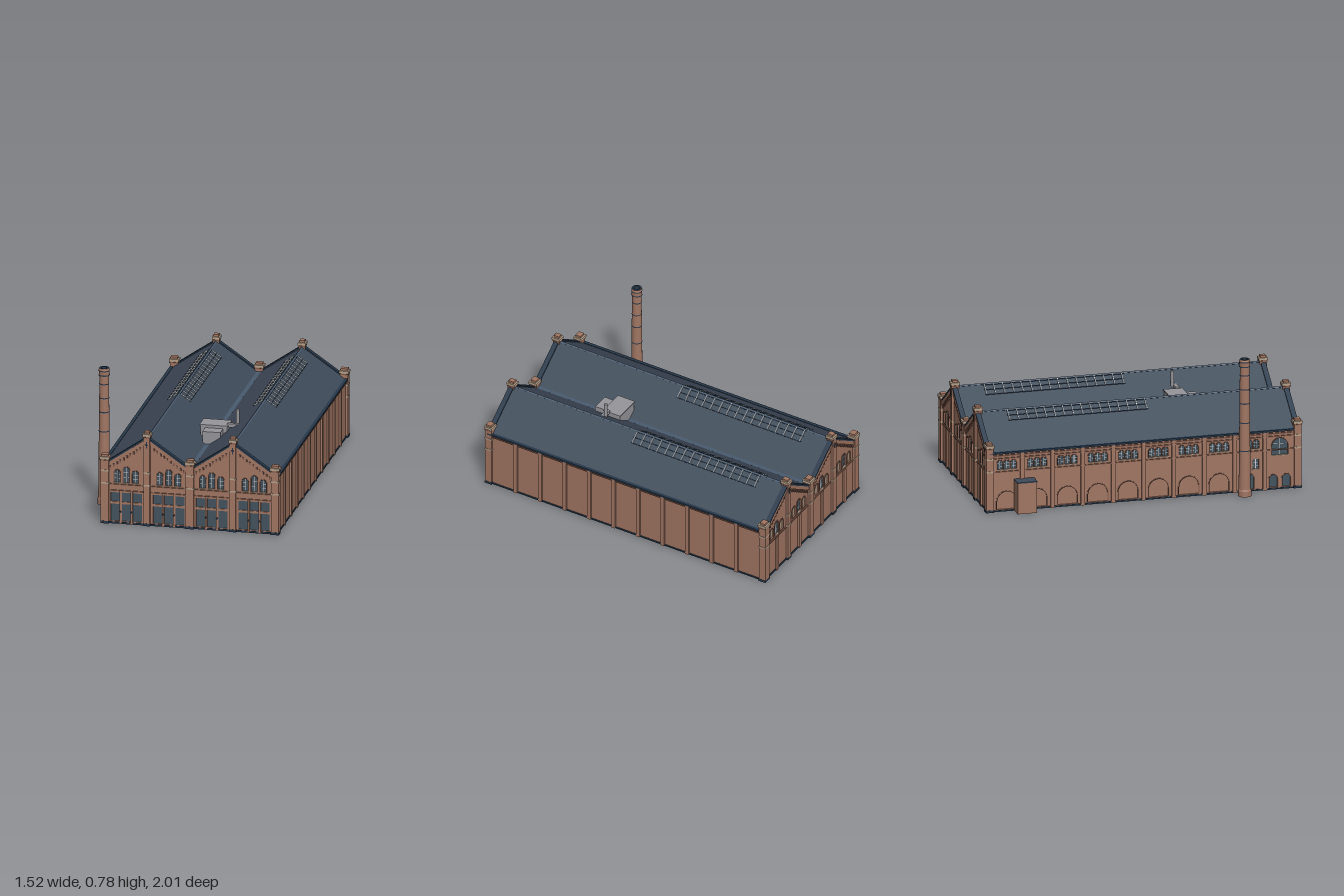
import * as THREE from 'three';

const mat = (name, color, side = THREE.FrontSide) => {
  const m = new THREE.MeshStandardMaterial({ color, side });
  m.name = name;
  return m;
};

export function createModel() {
  const brick = mat('brick', 0xa17663, THREE.DoubleSide);
  const darkBrick = mat('dark brick', 0x7f5a4b);
  const roofMat = mat('slate roof', 0x3f4b5a, THREE.DoubleSide);
  const ridgeMat = mat('blue lead', 0x4a5b70);
  const stone = mat('stone', 0xb5a08a);
  const glass = mat('dark glass', 0x43535f);
  const frameMat = mat('pale frame', 0xc9cdd0);
  const trim = mat('dark trim', 0x27384a);
  const metal = mat('grey metal', 0x96969b);
  const blind = mat('blind panel', 0xa58c78);

  const HX = 0.484, HZ = 0.877, EAVE = 0.335, PEAK = 0.5, PX = 0.24, T = 0.012;
  const root = new THREE.Group();
  const building = new THREE.Group();
  building.name = 'factory';
  building.rotation.y = 0.3194;
  root.add(building);

  const add = (parent, name, geo, material, x = 0, y = 0, z = 0) => {
    const m = new THREE.Mesh(geo, material);
    m.name = name;
    m.position.set(x, y, z);
    parent.add(m);
    return m;
  };
  const box = (parent, name, material, w, h, d, x, y, z) =>
    add(parent, name, new THREE.BoxGeometry(w, h, d), material, x, y, z);

  // Rectangle with an optional round top
  const opening = (u, y, w, h, arch, Kind = THREE.Shape) => {
    const s = new Kind(), r = w / 2;
    s.moveTo(u - r, y);
    s.lineTo(u + r, y);
    if (arch) {
      s.lineTo(u + r, y + h - r);
      s.absarc(u, y + h - r, r, 0, Math.PI, false);
    } else {
      s.lineTo(u + r, y + h);
      s.lineTo(u - r, y + h);
    }
    s.lineTo(u - r, y);
    return s;
  };
  const extrude = (shape, depth) =>
    new THREE.ExtrudeGeometry(shape, { depth, bevelEnabled: false, curveSegments: 8 });

  // Wall with outer face at z = 0; openings get a pane, bars and a surround
  const wall = (name, pts, openings, rot, x, z) => {
    const g = new THREE.Group();
    g.name = name;
    g.rotation.y = rot;
    g.position.set(x, 0, z);
    building.add(g);
    const s = new THREE.Shape(pts.map(p => new THREE.Vector2(...p)));
    for (const o of openings) s.holes.push(opening(o.u, o.y, o.w, o.h, o.arch, THREE.Path));
    add(g, 'brickwork', extrude(s, T), brick, 0, 0, -T);
    for (const o of openings) {
      add(g, 'pane', extrude(opening(o.u, o.y, o.w, o.h, o.arch), 0.004), o.fill || glass, 0, 0, -0.009);
      if (o.arch) {
        const ring = opening(o.u, o.y, o.w + 0.01, o.h + 0.005, true);
        ring.holes.push(opening(o.u, o.y, o.w, o.h, true, THREE.Path));
        add(g, 'arch surround', extrude(ring, 0.003), darkBrick);
      }
      if (o.bars) {
        box(g, 'vertical bar', frameMat, 0.003, o.h - 0.002, 0.006, o.u, o.y + o.h / 2, -0.007);
        for (const t of [0.33, 0.66])
          box(g, 'cross bar', frameMat, o.w, 0.002, 0.006, o.u, o.y + o.h * t, -0.007);
        box(g, 'sill', stone, o.w + 0.006, 0.004, 0.008, o.u, o.y - 0.002, 0.002);
      }
    }
    return g;
  };

  const topY = u => PEAK - Math.abs(Math.abs(u) - PX) * (PEAK - EAVE) / PX;
  const gablePts = [[-HX, 0], [HX, 0], [HX, topY(HX)], [PX, PEAK], [0, EAVE], [-PX, PEAK], [-HX, topY(HX)]];
  const bays = [-0.357, -0.12, 0.12, 0.357];

  // Pilasters, parapet slopes and brick corbels shared by both gable ends
  const dressGable = g => {
    for (const u of [-0.475, -PX, 0, PX, 0.475]) {
      const peak = Math.abs(u) === PX, h = peak ? 0.515 : 0.37, w = peak ? 0.034 : 0.044;
      box(g, 'pier', brick, w, h, 0.04, u, h / 2, -0.007);
      for (const y of [0.232, 0.303]) box(g, 'pier stone band', stone, w + 0.004, 0.009, 0.043, u, y, -0.007);
      box(g, 'pier neck', darkBrick, w + 0.006, 0.006, 0.045, u, h - 0.008, -0.007);
      box(g, 'pier cap', stone, w + 0.01, 0.014, 0.05, u, h + 0.005, -0.007);
      box(g, 'pier crown', brick, w - 0.006, 0.014, 0.032, u, h + 0.017, -0.007);
      box(g, 'pier base', trim, w + 0.003, 0.014, 0.043, u, 0.007, -0.007);
      if (peak) {
        box(g, 'wall anchor', trim, 0.005, 0.036, 0.003, u, 0.465, 0.0145);
        box(g, 'wall anchor', trim, 0.016, 0.005, 0.003, u, 0.465, 0.0145);
      }
    }
    for (const s of [-1, 1]) for (const k of [-1, 1]) {
      const len = Math.hypot(PX, PEAK - EAVE), ang = Math.atan2(PEAK - EAVE, PX);
      const slope = (name, m, h, d, dy, z) => {
        const b = box(g, name, m, len, h, d, s * PX + k * PX / 2, (EAVE + PEAK) / 2 + dy, z);
        b.rotation.z = -k * ang;
      };
      slope('coping', trim, 0.009, 0.028, 0.004, -0.006);
      slope('brick verge', brick, 0.02, 0.008, -0.014, 0.003);
      for (let i = 1; i < 11; i++) {
        const u = s * PX + k * (0.02 + i * 0.0185);
        box(g, 'corbel', darkBrick, 0.008, 0.014, 0.006, u, topY(u) - 0.037, 0.003);
      }
    }
    box(g, 'plinth', trim, 2 * HX, 0.01, 0.006, 0, 0.005, 0.002);
  };

  // Front: tall panels below, three round-headed windows above in each bay
  const frontOpenings = [];
  for (const c of bays) for (const k of [-1, 0, 1]) {
    frontOpenings.push({ u: c + k * 0.062, y: 0.014, w: 0.05, h: 0.098 });
    frontOpenings.push({ u: c + k * 0.062, y: 0.125, w: 0.05, h: 0.053 });
    frontOpenings.push({ u: c + k * 0.05, y: 0.236, w: 0.032, h: k ? 0.07 : 0.09, arch: true, bars: true });
  }
  const front = wall('front wall', gablePts, frontOpenings, 0, 0, HZ);
  dressGable(front);
  for (const c of bays) {
    box(front, 'string course', darkBrick, 0.19, 0.006, 0.006, c, 0.225, 0.003);
    box(front, 'string course', darkBrick, 0.19, 0.005, 0.006, c, 0.19, 0.003);
    for (const k of [-1, 1]) {
      box(front, 'mullion pier', brick, 0.011, 0.19, 0.008, c + k * 0.031, 0.095, 0.004);
      const a = box(front, 'wall anchor', trim, 0.01, 0.01, 0.003, c + k * 0.031, 0.07, 0.0095);
      a.rotation.z = Math.PI / 4;
    }
  }

  // Back: plain base with slim pilasters, blind arches beside a central window
  const backOpenings = [];
  for (const c of bays) for (const k of [-1, 0, 1])
    backOpenings.push({ u: c + k * 0.052, y: 0.238, w: 0.036, h: k ? 0.066 : 0.085, arch: true, bars: !k, fill: k ? blind : glass });
  const back = wall('back wall', gablePts, backOpenings, Math.PI, 0, -HZ);
  dressGable(back);
  for (const c of bays) {
    box(back, 'string course', darkBrick, 0.19, 0.006, 0.006, c, 0.225, 0.003);
    box(back, 'slim pilaster', brick, 0.022, 0.222, 0.01, c, 0.111, 0.005);
  }

  // Chimney side: ten bays of blind arches below triple windows
  const sidePts = [[-HZ, 0], [HZ, 0], [HZ, EAVE], [-HZ, EAVE]];
  const N = 10, step = (2 * HZ - 0.04) / N, sideOpenings = [];
  const bayU = i => -HZ + 0.02 + (i + 0.5) * step;
  for (let i = 0; i < N; i++) {
    const u = bayU(i);
    if (i === N - 1) {
      sideOpenings.push({ u, y: 0.195, w: 0.09, h: 0.095, arch: true, bars: true });
      for (const k of [-1, 1]) sideOpenings.push({ u: u + k * 0.037, y: 0.012, w: 0.045, h: 0.07, arch: true });
      continue;
    }
    for (const k of [-1, 0, 1])
      sideOpenings.push({ u: u + k * 0.038, y: 0.24, w: 0.031, h: 0.05, arch: true, bars: true });
    if (i === N - 2) {
      for (const k of [-1, 1]) sideOpenings.push({ u: u + k * 0.035, y: 0.125, w: 0.035, h: 0.055, bars: true });
      sideOpenings.push({ u, y: 0.012, w: 0.05, h: 0.085, arch: true });
    } else sideOpenings.push({ u, y: 0.012, w: 0.11, h: 0.1, arch: true, fill: brick });
  }
  const left = wall('arcaded side wall', sidePts, sideOpenings, -Math.PI / 2, -HX, 0);
  const right = wall('plain side wall', sidePts, [], Math.PI / 2, HX, 0);
  for (const [g, n] of [[left, N], [right, 11]]) {
    for (let i = 1; i < n; i++) {
      const u = -HZ + 0.02 + i * (2 * HZ - 0.04) / n;
      box(g, 'side pilaster', brick, 0.022, 0.33, 0.01, u, 0.165, 0.005);
      box(g, 'pilaster cap', stone, 0.024, 0.008, 0.013, u, 0.334, 0.005);
    }
    box(g, 'gutter', trim, 2 * HZ, 0.01, 0.018, 0, EAVE, 0.004);
    box(g, 'eaves band', darkBrick, 2 * HZ, 0.008, 0.006, 0, 0.318, 0.003);
    box(g, 'side plinth', trim, 2 * HZ, 0.008, 0.006, 0, 0.004, 0.002);
  }
  for (const y of [0.226, 0.302]) box(left, 'string course', darkBrick, 2 * HZ, 0.006, 0.006, 0, y, 0.003);

  // Twin pitched roof with ridge caps, skylight bars and valley gutter
  const pitch = Math.atan2(PEAK - EAVE, PX), slopeLen = Math.hypot(PX, PEAK - EAVE);
  for (const s of [-1, 1]) {
    for (const k of [-1, 1]) {
      const slab = box(building, 'roof slope', roofMat, slopeLen + 0.002, 0.006, 2 * HZ - 0.01,
        s * PX + k * PX / 2, (EAVE + PEAK) / 2 - 0.002, 0);
      slab.rotation.z = -k * pitch;
      const barAt = (name, m, w, h, d, along, z) => {
        const b = box(building, name, m, w, h, d, s * PX + k * along * Math.cos(pitch),
          PEAK - along * Math.sin(pitch) + 0.004, z);
        b.rotation.z = -k * pitch;
      };
      for (let i = 0; i < 16; i++)
        barAt('skylight bar', frameMat, 0.07, 0.008, 0.004, 0.043, -0.705 + i * 0.0517);
      for (const a of [0.01, 0.043, 0.077])
        barAt('skylight rail', trim, 0.004, 0.005, 0.79, a, -0.317);
    }
    const ridge = box(building, 'ridge cap', ridgeMat, 0.009, 0.009, 2 * HZ - 0.03, s * PX, PEAK, 0);
    ridge.rotation.z = Math.PI / 4;
  }
  box(building, 'valley gutter', ridgeMat, 0.024, 0.004, 2 * HZ - 0.03, 0, EAVE + 0.008, 0);

  // Rooftop ventilation unit with side duct and stack
  box(building, 'ventilation unit', metal, 0.15, 0.085, 0.1, 0.02, 0.385, 0.325);
  box(building, 'ventilation unit lid', metal, 0.158, 0.006, 0.108, 0.02, 0.43, 0.325);
  box(building, 'ventilation intake', metal, 0.1, 0.075, 0.07, 0.022, 0.378, 0.41);
  box(building, 'duct', metal, 0.075, 0.02, 0.022, 0.128, 0.432, 0.35);
  add(building, 'vent stack', new THREE.CylinderGeometry(0.01, 0.01, 0.1, 12), metal, 0.145, 0.47, 0.335);

  // Round chimney with metal bands and a flue to the wall
  const prof = [[0.037, 0], [0.037, 0.03], [0.033, 0.04], [0.026, 0.735], [0.029, 0.742], [0.03, 0.772], [0.027, 0.78], [0.017, 0.78], [0.016, 0.7], [0, 0.7]];
  const chimney = new THREE.Group();
  chimney.name = 'chimney';
  chimney.position.set(-0.552, 0, 0.554);
  building.add(chimney);
  for (let i = 0; i < prof.length - 1; i++)
    add(chimney, i < 6 ? 'chimney shaft' : 'chimney mouth',
      new THREE.LatheGeometry([prof[i], prof[i + 1]].map(p => new THREE.Vector2(...p)), 20), i < 6 ? brick : trim);
  for (const y of [0.26, 0.42, 0.53, 0.61, 0.69, 0.74, 0.765]) {
    const r = 0.0335 - (y - 0.04) * 0.0101 + (y > 0.735 ? 0.004 : 0.0005);
    add(chimney, 'chimney band', new THREE.CylinderGeometry(r, r, 0.006, 20, 1, true), trim, 0, y, 0);
  }
  box(building, 'flue', brick, 0.06, 0.07, 0.03, -0.505, 0.035, 0.554);

  // Small lean-to annex
  box(building, 'annex', brick, 0.076, 0.174, 0.11, -0.522, 0.087, -0.675);
  box(building, 'annex roof', roofMat, 0.08, 0.006, 0.114, -0.522, 0.177, -0.675);

  return root;
}
